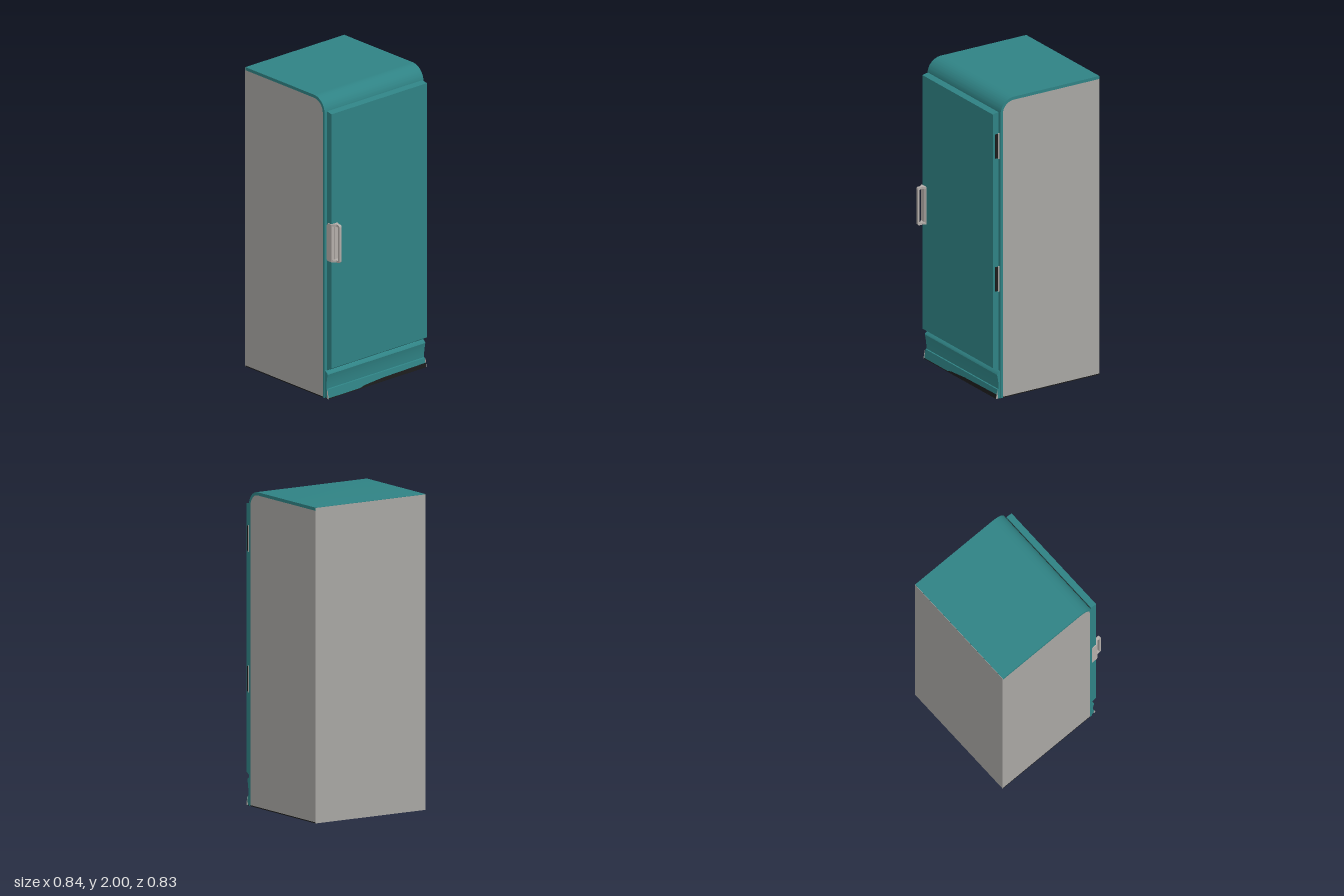
import * as THREE from 'three';
import { toCreasedNormals } from 'three/addons/utils/BufferGeometryUtils.js';

const mat = (name, color, side = THREE.FrontSide) => {
  const m = new THREE.MeshStandardMaterial({ color, side });
  m.name = name;
  return m;
};

export function createModel() {
  const teal = mat('teal enamel', 0x2f8284);
  const grey = mat('grey panel', 0xa8a6a3);
  const metal = mat('handle metal', 0xb4aeaa);
  const black = mat('black underside', 0x1c1c1c, THREE.DoubleSide);
  const group = new THREE.Group();
  group.name = 'refrigerator';

  const add = (name, geometry, material, x = 0, y = 0, z = 0) => {
    const mesh = new THREE.Mesh(geometry, material);
    mesh.name = name;
    mesh.position.set(x, y, z);
    group.add(mesh);
    return mesh;
  };
  const box = (name, w, h, d, material, x, y, z) =>
    add(name, new THREE.BoxGeometry(w, h, d), material, x, y, z);
  // Extrudes an x-y outline along z, centred on z = 0
  const slab = (shape, depth) => {
    const g = new THREE.ExtrudeGeometry(shape, { depth, bevelEnabled: false, curveSegments: 14 });
    g.translate(0, 0, -depth / 2);
    return toCreasedNormals(g, 0.5);
  };
  const poly = (pts) => new THREE.Shape(pts.map((p) => new THREE.Vector2(...p)));

  // Cabinet core with grey sides
  const core = new THREE.Shape();
  core.moveTo(-0.42, 0.004).lineTo(0.3, 0.004).lineTo(0.3, 1.9);
  core.absarc(0.22, 1.9, 0.08, 0, Math.PI / 2, false);
  core.lineTo(-0.42, 1.98);
  add('cabinetCore', slab(core, 0.828), grey);

  // Teal wrapper over the top, rounded corner and door opening
  const shell = new THREE.Shape();
  shell.moveTo(0.3, 0).lineTo(0.317, 0).lineTo(0.317, 1.9);
  shell.absarc(0.217, 1.9, 0.1, 0, Math.PI / 2, false);
  shell.lineTo(-0.42, 2).lineTo(-0.42, 1.98).lineTo(0.22, 1.98);
  shell.absarc(0.22, 1.9, 0.08, Math.PI / 2, 0, true);
  add('cabinetShell', slab(shell, 0.83), teal);
  box('backPanel', 0.003, 1.998, 0.83, grey, -0.4205, 0.999, 0);
  box('underside', 0.72, 0.006, 0.83, black, -0.06, 0.003, 0);

  // Door with slanted lower edge, on a recessed gasket
  add('door', slab(poly([
    [0.323, 0.183], [0.365, 0.208], [0.365, 1.907], [0.323, 1.915],
  ]), 0.8), teal);
  box('doorGasket', 0.01, 1.7, 0.77, black, 0.32, 1.05, 0);

  // Curved kick plate with flared foot
  const kick = new THREE.Shape();
  kick.moveTo(0.31, 0).lineTo(0.345, 0).lineTo(0.335, 0.06).lineTo(0.327, 0.062);
  kick.quadraticCurveTo(0.329, 0.12, 0.34, 0.16);
  kick.lineTo(0.336, 0.168).lineTo(0.317, 0.182).lineTo(0.31, 0.182);
  add('kickPlate', slab(kick, 0.82), teal);
  const cap = slab(poly([[0.335, 0.001], [0.348, 0.001], [0.338, 0.055]]), 0.004);
  for (const s of [1, -1]) add('kickPlateEnd', cap, grey, 0, 0, s * 0.411);
  box('kickPlateBase', 0.045, 0.004, 0.82, black, 0.324, 0.002, 0);

  // Dark toe strip, tapering towards the front corner
  const toe = new THREE.ShapeGeometry(poly([
    [-0.17, 0], [0.41, 0], [0.41, 0.03], [0.05, 0.025], [-0.1, 0.015],
  ]));
  toe.rotateY(Math.PI / 2);
  add('toeStrip', toe, black, 0.3465, 0, 0).rotation.z = 0.1;

  // Hinges along the far edge
  for (const y of [1.69, 0.8]) {
    box('hingeLeaf', 0.028, 0.16, 0.008, black, 0.334, y, -0.404);
    const pin = new THREE.CylinderGeometry(0.005, 0.005, 0.17, 10);
    add('hingePin', pin, metal, 0.326, y, -0.407);
  }

  // Handle: edge plate, face mount and open grip
  add('handlePlate', slab(poly([
    [0.325, 0.93], [0.332, 0.92], [0.368, 0.92], [0.368, 1.172],
    [0.337, 1.172], [0.325, 1.155],
  ]), 0.006), metal, 0, 0, 0.403);
  const mount = new THREE.Shape();
  mount.moveTo(0.364, -0.406).lineTo(0.376, -0.4).lineTo(0.392, -0.384);
  mount.lineTo(0.392, -0.366).lineTo(0.376, -0.355).lineTo(0.364, -0.352);
  for (const y of [0.928, 1.166]) {
    const g = slab(mount, 0.014);
    g.rotateX(-Math.PI / 2);
    add('handleMount', g, metal, 0, y, 0);
  }
  box('handleFacePlate', 0.008, 0.25, 0.05, metal, 0.368, 1.046, 0.379);
  const grip = new THREE.Shape();
  grip.moveTo(0.37, 0.92).lineTo(0.405, 0.92).quadraticCurveTo(0.42, 0.92, 0.42, 0.936);
  grip.lineTo(0.42, 1.158).quadraticCurveTo(0.42, 1.174, 0.405, 1.174).lineTo(0.37, 1.174);
  const hole = new THREE.Path();
  hole.moveTo(0.374, 0.934).lineTo(0.374, 1.16).lineTo(0.4, 1.16);
  hole.quadraticCurveTo(0.407, 1.16, 0.407, 1.152).lineTo(0.407, 0.942);
  hole.quadraticCurveTo(0.407, 0.934, 0.4, 0.934);
  grip.holes.push(hole);
  add('handleGrip', slab(grip, 0.018), metal, 0, 0, 0.375);

  return group;
}
